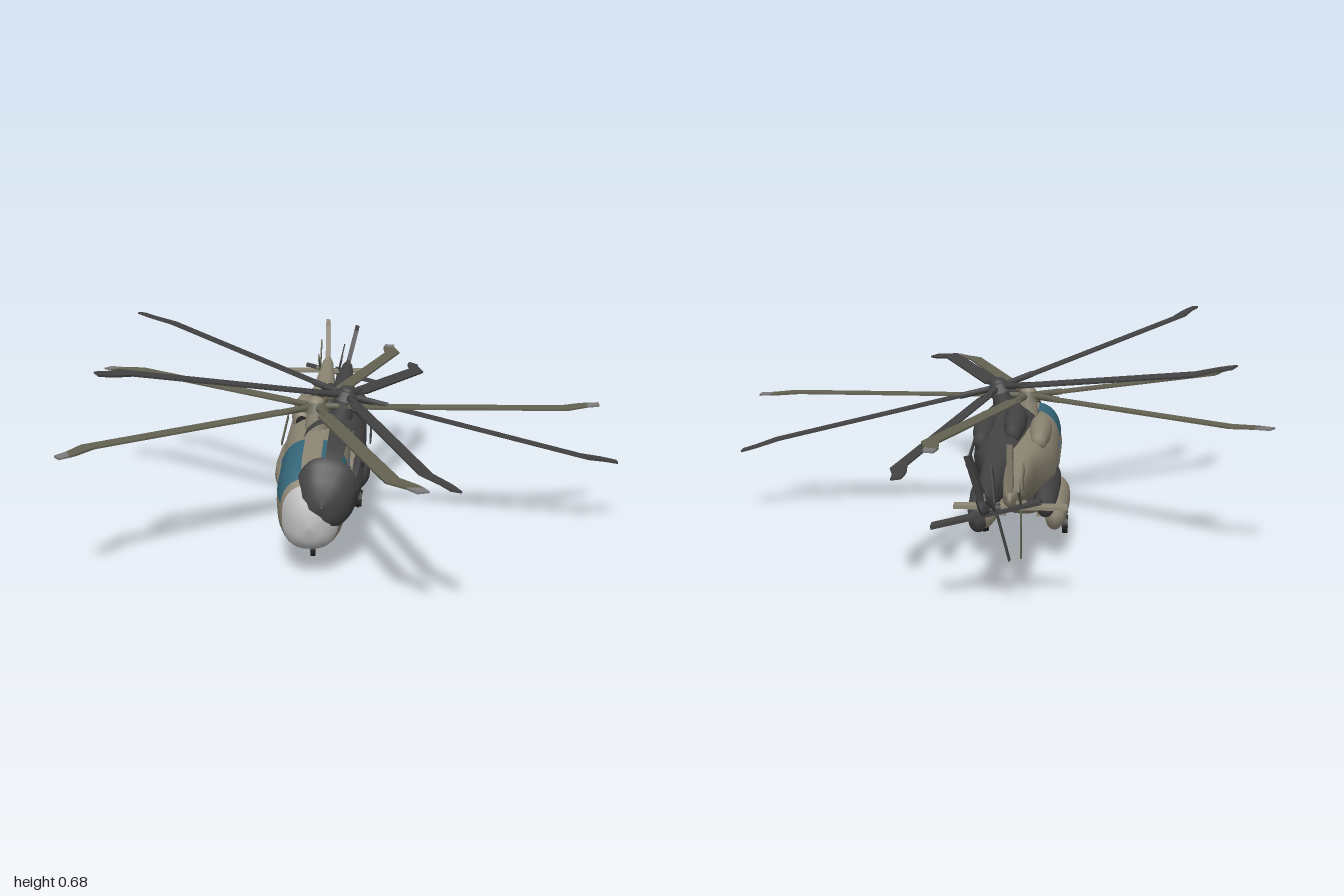
import * as THREE from 'three';

const mat = (name, color, side = THREE.FrontSide) => {
  const m = new THREE.MeshStandardMaterial({ color, side });
  m.name = name;
  return m;
};

// Hull stations: z, bottom y, top y, half width
const STATIONS = [
  [0.622, 0.164, 0.168, 0.001], [0.616, 0.125, 0.205, 0.035], [0.603, 0.1, 0.245, 0.062],
  [0.575, 0.086, 0.29, 0.086], [0.56, 0.083, 0.308, 0.093], [0.525, 0.079, 0.33, 0.103],
  [0.47, 0.076, 0.342, 0.109], [0.38, 0.075, 0.347, 0.11], [0.28, 0.075, 0.35, 0.11],
  [0.05, 0.075, 0.36, 0.11], [-0.15, 0.085, 0.36, 0.105], [-0.3, 0.185, 0.352, 0.075],
  [-0.42, 0.222, 0.347, 0.048], [-0.65, 0.262, 0.346, 0.034], [-0.83, 0.288, 0.35, 0.022],
  [-0.9, 0.31, 0.345, 0.008], [-0.905, 0.326, 0.329, 0.001],
];
const SEG = 32;
const NOSE_END = 3, GLASS_START = 4, GLASS_END = 8;

// Lofts the hull and splits its faces into shell, nose and glazing
function hullGeometries() {
  const pos = [], all = [], parts = { shell: [], nose: [], glass: [] };
  const pow = (v) => Math.sign(v) * Math.abs(v) ** 0.8;
  for (const [z, bottom, top, w] of STATIONS) {
    for (let j = 0; j < SEG; j++) {
      const t = (j / SEG) * Math.PI * 2;
      pos.push(w * pow(Math.sin(t)), (top + bottom) / 2 + ((top - bottom) / 2) * pow(Math.cos(t)), z);
    }
  }
  for (let i = 0; i < STATIONS.length - 1; i++) {
    for (let j = 0; j < SEG; j++) {
      const a = i * SEG + j, b = i * SEG + ((j + 1) % SEG);
      const quad = [a, b, a + SEG, b, b + SEG, a + SEG];
      const side = Math.min(j, SEG - 1 - j);
      const glazed = i >= GLASS_START && i < GLASS_END && side >= 1 && side <= 6;
      all.push(...quad);
      parts[i < NOSE_END ? 'nose' : glazed ? 'glass' : 'shell'].push(...quad);
    }
  }
  const full = new THREE.BufferGeometry();
  full.setAttribute('position', new THREE.Float32BufferAttribute(pos, 3));
  full.setIndex(all);
  full.computeVertexNormals();
  const pick = (index) => {
    const g = new THREE.BufferGeometry();
    g.setAttribute('position', full.attributes.position);
    g.setAttribute('normal', full.attributes.normal);
    g.setIndex(index);
    return g;
  };
  return { shell: pick(parts.shell), nose: pick(parts.nose), glass: pick(parts.glass) };
}

// Flat plate from an outline, centred on its thickness
function plate(points, depth) {
  const shape = new THREE.Shape(points.map((p) => new THREE.Vector2(...p)));
  return new THREE.ExtrudeGeometry(shape, { depth, bevelEnabled: false }).translate(0, 0, -depth / 2);
}

// Streamlined body along z, profile given as [radius, z]
const podGeometry = (profile, sx, sy) =>
  new THREE.LatheGeometry(profile.map((p) => new THREE.Vector2(...p)), 20).rotateX(Math.PI / 2).scale(sx, sy, 1);

// Round bar between two points
function bar(from, to, r) {
  const a = new THREE.Vector3(...from), b = new THREE.Vector3(...to);
  return new THREE.TubeGeometry(new THREE.LineCurve3(a, b), 1, r, 8);
}

// One aircraft, its rotor hub at y = 0.43, z = 0.16
function aircraft(name, paint) {
  const g = new THREE.Group();
  g.name = name;
  const add = (partName, geometry, material, parent = g) => {
    const m = new THREE.Mesh(geometry, material);
    m.name = partName;
    parent.add(m);
    return m;
  };

  // Fuselage and tail boom
  const hull = hullGeometries();
  add('fuselage', hull.shell, paint.body);
  add('nose', hull.nose, paint.nose);
  if (paint.glass) add('cockpitGlass', hull.glass, paint.glass);

  // Main rotor with swept blade tips
  const rotor = new THREE.Group();
  rotor.name = 'mainRotor';
  rotor.position.set(0, 0.425, 0.16);
  g.add(rotor);
  add('rotorMast', new THREE.CylinderGeometry(0.025, 0.04, 0.1, 16).translate(0, -0.04, 0), paint.body, rotor);
  add('rotorHub', new THREE.CylinderGeometry(0.03, 0.045, 0.03, 16), paint.blade, rotor);
  add('hubCap', new THREE.SphereGeometry(0.028, 16, 8).scale(1, 0.7, 1).translate(0, 0.014, 0), paint.body, rotor);
  const bladeShape = plate([[0.09, -0.012], [0.13, -0.028], [0.82, -0.028], [0.885, 0.012],
    [0.895, 0.058], [0.87, 0.052], [0.8, 0.022], [0.13, 0.022], [0.09, 0.012]], 0.006).rotateX(-Math.PI / 2);
  const tipShape = plate([[0.885, 0.012], [0.93, 0.028], [0.93, 0.062], [0.895, 0.058]], 0.006).rotateX(-Math.PI / 2);
  const armShape = bar([0.02, 0, 0], [0.14, 0, 0], 0.011);
  for (let i = 0; i < 5; i++) {
    const blade = new THREE.Group();
    blade.name = 'rotorBlade';
    blade.rotation.y = (i * Math.PI * 2) / 5;
    rotor.add(blade);
    add('bladeArm', armShape, paint.blade, blade);
    add('blade', bladeShape, paint.blade, blade);
    add('bladeTip', tipShape, paint.tip, blade);
  }

  // Mirrored parts: engines, sponsons, main gear, rails and cabin windows
  const engine = podGeometry([[0, -0.25], [0.024, -0.25], [0.032, -0.2], [0.042, -0.12],
    [0.044, 0], [0.036, 0.045], [0.026, 0.065], [0, 0.065]], 0.85, 1);
  const sponson = podGeometry([[0, -0.37], [0.034, -0.37], [0.048, -0.27], [0.055, -0.12],
    [0.052, -0.02], [0.038, 0.05], [0.018, 0.085], [0, 0.09]], 0.8, 1);
  const wheel = (r, w) => new THREE.CylinderGeometry(r, r, w, 18).rotateZ(Math.PI / 2);
  for (const s of [-1, 1]) {
    add('engine', engine, paint.body).position.set(s * 0.052, 0.345, 0);
    add('engineIntake', new THREE.CircleGeometry(0.02, 16), paint.black).position.set(s * 0.052, 0.345, 0.067);
    add('sponson', sponson, paint.body).position.set(s * 0.11, 0.13, 0);
    add('sponsonRoot', new THREE.BoxGeometry(0.06, 0.05, 0.3), paint.body).position.set(s * 0.08, 0.135, -0.12);
    add('mainStrut', bar([s * 0.12, 0.1, -0.07], [s * 0.13, 0.03, -0.07], 0.011), paint.blade);
    const mainWheel = add('mainWheel', wheel(0.031, 0.018), paint.black);
    mainWheel.position.set(s * 0.137, 0.031, -0.07);
    add('mainWheelHub', wheel(0.014, 0.021), paint.steel).position.copy(mainWheel.position);
    add('sideRail', new THREE.BoxGeometry(0.005, 0.012, 0.34), paint.blade).position.set(s * 0.118, 0.28, -0.06);
    add('cabinWindow', new THREE.BoxGeometry(0.006, 0.04, 0.04), paint.window).position.set(s * 0.108, 0.235, 0.2);
  }

  // Nose gear
  add('noseStrut', bar([0, 0.09, 0.41], [0, 0.03, 0.41], 0.009), paint.blade);
  add('noseWheel', wheel(0.026, 0.014), paint.black).position.set(0, 0.026, 0.41);
  add('noseWheelHub', wheel(0.016, 0.017), paint.steel).position.set(0, 0.026, 0.41);

  // Tail fin and stabilizer
  const fin = plate([[0.77, 0.33], [0.875, 0.31], [0.91, 0.49], [0.86, 0.475], [0.82, 0.36]], 0.016);
  add('tailFin', fin.rotateY(Math.PI / 2), paint.body);
  const stabilizer = plate([[-0.16, 0.825], [0.16, 0.825], [0.16, 0.865], [-0.16, 0.865]], 0.01);
  add('stabilizer', stabilizer.rotateX(-Math.PI / 2), paint.body).position.y = 0.297;

  // Three-bladed tail rotor
  const tailRotor = new THREE.Group();
  tailRotor.name = 'tailRotor';
  tailRotor.position.set(-0.03, 0.305, -0.845);
  g.add(tailRotor);
  add('tailRotorHub', wheel(0.013, 0.03), paint.blade, tailRotor);
  for (let i = 0; i < 3; i++) {
    const blade = add('tailRotorBlade', new THREE.BoxGeometry(0.005, 0.155, 0.022).translate(0, -0.08, 0), paint.blade, tailRotor);
    blade.rotation.x = (i * Math.PI * 2) / 3;
  }
  return g;
}

export function createModel() {
  const both = THREE.DoubleSide;
  const black = mat('black', 0x262626);
  const steel = mat('steel grey', 0x7c7c7c);
  const charcoal = mat('charcoal', 0x434343, both);
  const root = new THREE.Group();
  root.name = 'helicopterPair';

  // Upright tan aircraft
  const tan = aircraft('tanHelicopter', {
    body: mat('tan', 0x8c8573, both), nose: mat('light grey', 0xb9b9b9, both),
    glass: mat('teal glass', 0x35677a, both), window: mat('blue window', 0x3a5f92),
    blade: mat('olive grey', 0x626151), tip: steel, black, steel,
  });
  tan.position.x = -0.09;
  root.add(tan);

  // Dark aircraft with open cockpit frames, rolled and pitched about its hub
  const dark = aircraft('darkHelicopter', {
    body: charcoal, nose: charcoal, glass: null, window: black,
    blade: charcoal, tip: charcoal, black, steel,
  });
  dark.position.set(0, -0.425, -0.16);
  const tilt = new THREE.Group();
  tilt.name = 'darkHelicopterTilt';
  tilt.position.set(0.01, 0.457, 0.14);
  tilt.rotation.set(-0.055, 0, -0.25);
  tilt.add(dark);
  root.add(tilt);
  return root;
}
